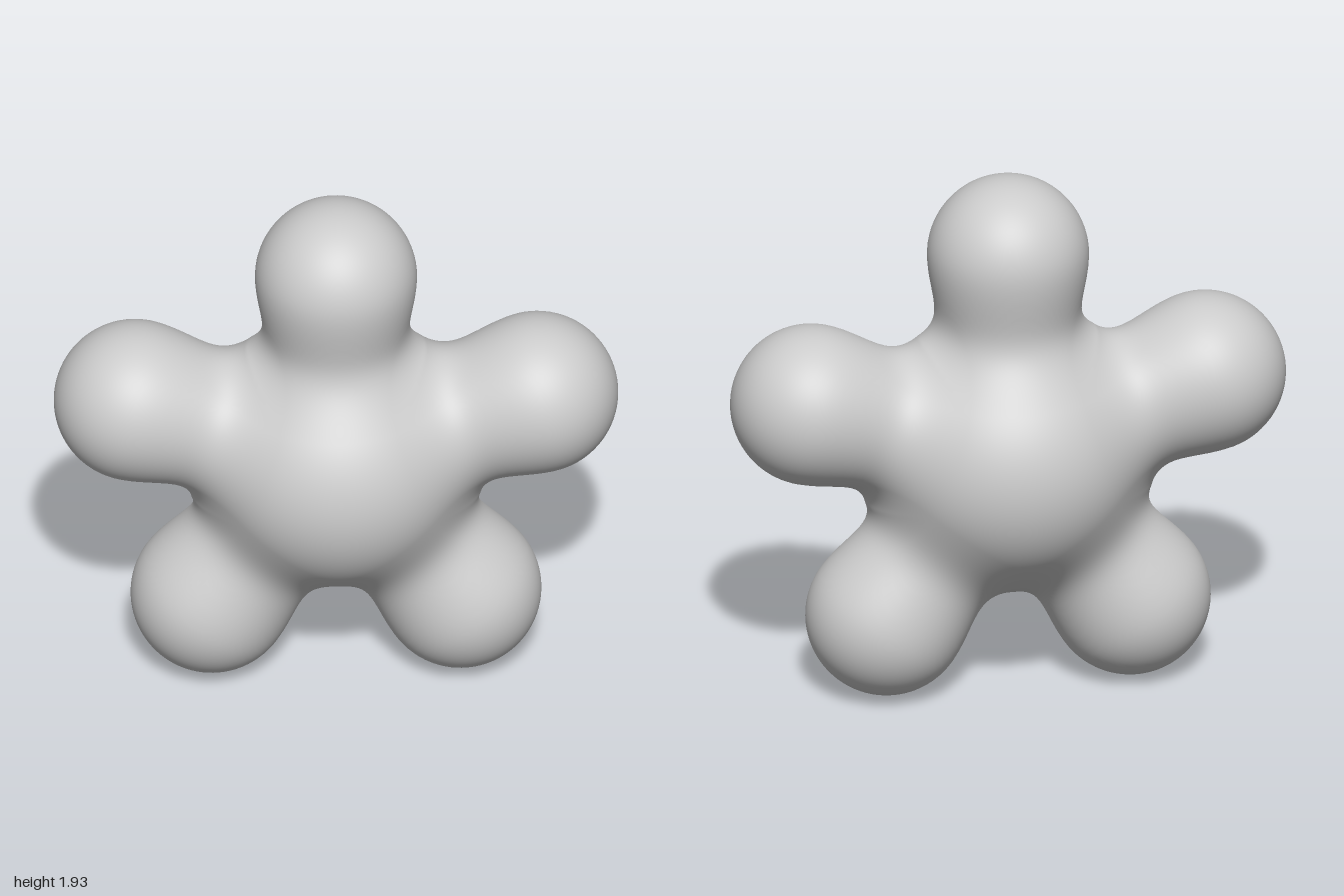
import * as THREE from 'three';
import { mergeVertices } from 'three/addons/utils/BufferGeometryUtils.js';

const CENTRE_Y = 0.902;
const BODY_RADIUS = 0.476;
const ARM_RADIUS = 0.287;
const ARM_REACH = 0.749;
const BLEND = 0.315;

// Five arm ends spaced evenly around the body, the first pointing up
const armEnds = Array.from({ length: 5 }, (_, i) => {
  const a = (i * Math.PI * 2) / 5;
  return new THREE.Vector3(Math.sin(a), Math.cos(a), 0).multiplyScalar(ARM_REACH);
});

// Smooth union of two distances
function smoothMin(a, b) {
  const h = Math.max(BLEND - Math.abs(a - b), 0);
  return Math.min(a, b) - (h * h) / (4 * BLEND);
}

// Distance to the blended body and arms; nearest arms first keeps it symmetric
function distance(p) {
  const arms = armEnds.map((c) => p.distanceTo(c) - ARM_RADIUS).sort((a, b) => a - b);
  return arms.reduce(smoothMin, p.length() - BODY_RADIUS);
}

// Push each point of a fine sphere out along its ray to the blended surface
function blobGeometry() {
  const sphere = new THREE.IcosahedronGeometry(1, 60);
  sphere.deleteAttribute('normal');
  sphere.deleteAttribute('uv');
  const geometry = mergeVertices(sphere, 1e-4);
  const position = geometry.attributes.position;
  const dir = new THREE.Vector3();
  const p = new THREE.Vector3();
  for (let i = 0; i < position.count; i++) {
    dir.fromBufferAttribute(position, i).normalize();
    let inside = 0.3;
    let outside = 1.15;
    for (let step = 0; step < 20; step++) {
      const mid = (inside + outside) / 2;
      if (distance(p.copy(dir).multiplyScalar(mid)) < 0) inside = mid;
      else outside = mid;
    }
    p.copy(dir).multiplyScalar(inside);
    position.setXYZ(i, p.x, p.y, p.z);
  }
  geometry.computeVertexNormals();
  return geometry;
}

export function createModel() {
  const group = new THREE.Group();
  group.name = 'fiveArmedBlob';
  const body = new THREE.Mesh(
    blobGeometry(),
    new THREE.MeshStandardMaterial({ color: 0xcccccc })
  );
  body.name = 'bodyWithArms';
  body.position.y = CENTRE_Y;
  group.add(body);
  return group;
}
